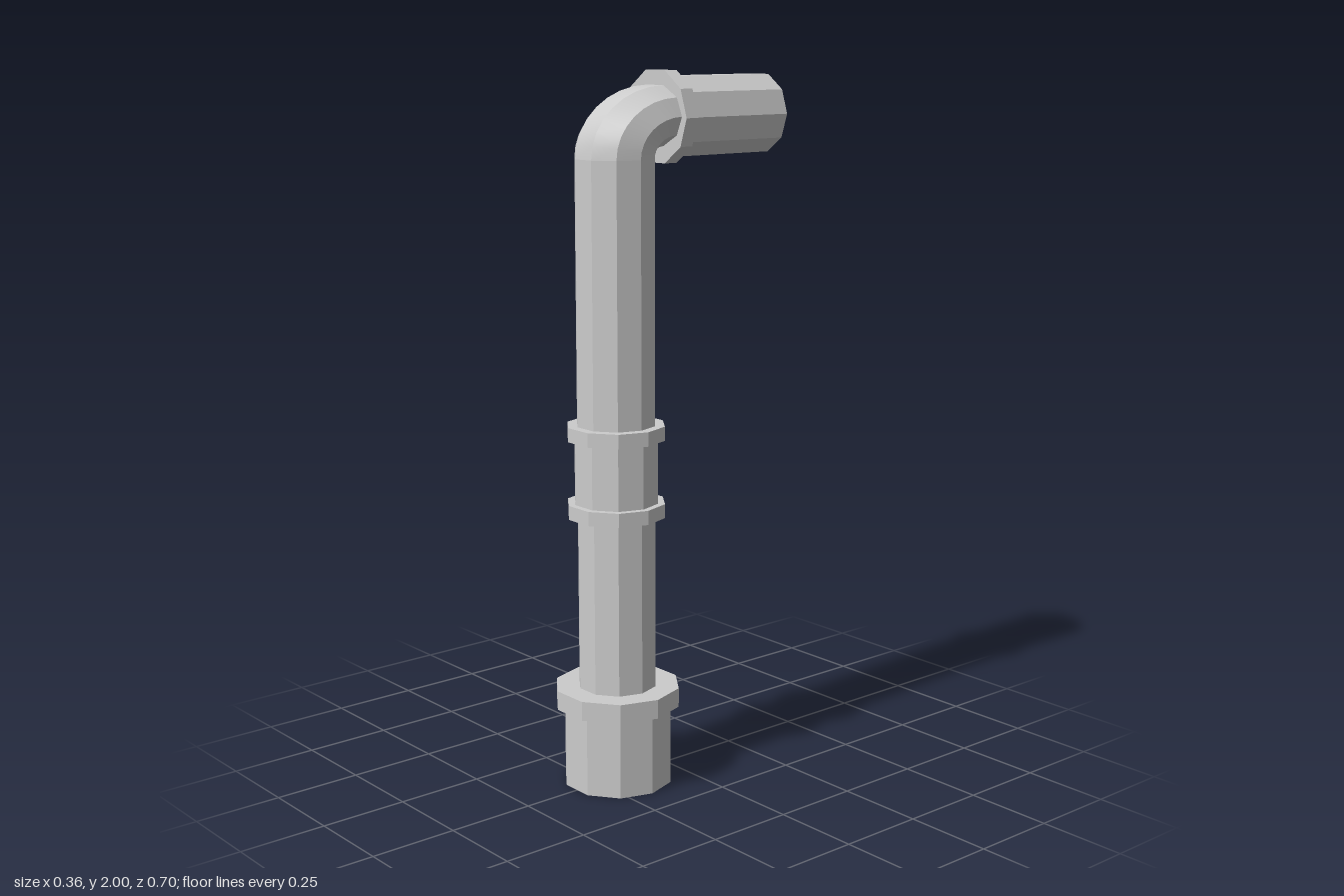
import * as THREE from 'three';
import { toCreasedNormals } from 'three/addons/utils/BufferGeometryUtils.js';

const SIDES = 10;
const PIPE_R = 0.112;
const PIPE_Z = 0.18;
const BEND = { y: 1.77, z: 0.037, radius: PIPE_Z - 0.037, squash: 0.766 };
const OUTLET_Y = 1.876;

const flat = new THREE.MeshStandardMaterial({ color: 0xcccccc, flatShading: true, side: THREE.DoubleSide });
const smooth = new THREE.MeshStandardMaterial({ color: 0xcccccc, side: THREE.DoubleSide });

// Ten-sided shape turned around y from [radius, height] pairs
function turned(name, profile) {
  const points = profile.map(([r, y]) => new THREE.Vector2(r, y));
  const mesh = new THREE.Mesh(new THREE.LatheGeometry(points, SIDES, Math.PI / 2), flat);
  mesh.name = name;
  return mesh;
}

const tube = (name, r, y0, y1) => turned(name, [[r, y0], [r, y1]]);

// Hollow collar that sits around a pipe
const collar = (name, r, y0, y1, inner = PIPE_R) =>
  turned(name, [[inner, y0], [r, y0], [r, y1], [inner, y1]]);

// Quarter bend: ten-sided section swept around the x axis, slightly squashed in height
function makeElbow() {
  const section = [];
  for (let i = 0; i <= SIDES; i++) {
    const a = ((i + 0.5) / SIDES) * Math.PI * 2;
    section.push(new THREE.Vector2(BEND.radius + PIPE_R * Math.cos(a), PIPE_R * Math.sin(a)));
  }
  const geometry = new THREE.LatheGeometry(section, 8, 0, Math.PI / 2);
  geometry.rotateZ(Math.PI / 2);
  geometry.scale(1, BEND.squash, 1);
  const mesh = new THREE.Mesh(toCreasedNormals(geometry, 0.45), smooth);
  mesh.name = 'elbow';
  mesh.position.set(0, BEND.y, BEND.z);
  return mesh;
}

export function createModel() {
  const model = new THREE.Group();
  model.name = 'pipe';

  // Upright pipe with its base socket and middle coupling
  const upright = new THREE.Group();
  upright.name = 'upright';
  upright.position.z = PIPE_Z;
  upright.add(
    tube('uprightPipe', PIPE_R, 0, BEND.y),
    collar('baseSocket', 0.156, 0, 0.23),
    collar('baseCollar', 0.18, 0.23, 0.285),
    collar('couplingSleeve', 0.12, 0.82, 1.0),
    collar('couplingLowerRing', 0.14, 0.78, 0.82),
    collar('couplingUpperRing', 0.14, 1.0, 1.04)
  );

  // Outlet pipe running to the back, with its flange
  const outlet = new THREE.Group();
  outlet.name = 'outlet';
  outlet.position.y = OUTLET_Y;
  outlet.rotation.x = -Math.PI / 2;
  outlet.add(
    tube('outletPipe', 0.114, -0.035, 0.351),
    collar('outletFlange', 0.131, -0.037, 0.005, 0.085)
  );

  model.add(upright, makeElbow(), outlet);
  return model;
}
